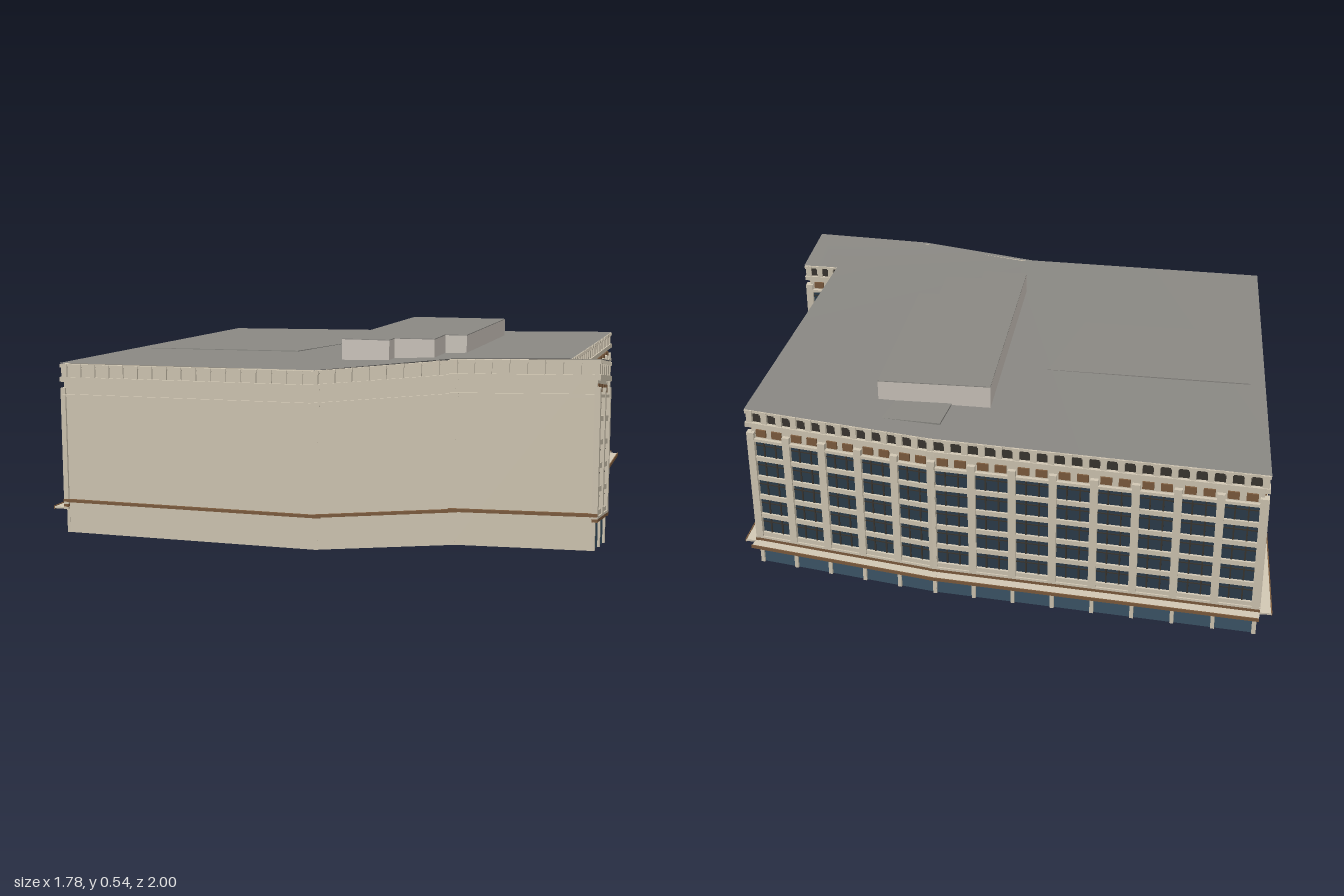
import * as THREE from 'three';
import { mergeGeometries } from 'three/addons/utils/BufferGeometryUtils.js';

const mat = (color) => new THREE.MeshStandardMaterial({ color, side: THREE.DoubleSide });
const stone = mat(0xd2c8b4), glass = mat(0x2c3d4b), shopGlass = mat(0x3d5668), dark = mat(0x3a3630);
const brown = mat(0x7d5c3e), roofGrey = mat(0x8a8883), plantWall = mat(0xd0c9c0);

// Footprint corners: x, z and ground height, counter-clockwise from above
const outline = [[-0.11, 0.995, 0.07], [0.08, 0.87, 0.042], [0.02, 0.78, 0.04], [0.857, 0.217, 0.03],
  [0.64, -0.24, 0.015], [0.22, -0.98, 0], [-0.872, -0.25, 0.01], [-0.49, 0.38, 0.017], [-0.3, 0.69, 0.059]];
const roofTriangles = [0, 1, 2, 2, 8, 0, 2, 7, 8, 2, 3, 7, 3, 4, 7, 4, 5, 7, 5, 6, 7];
const ROOF = 0.468, FLOOR0 = 0.085, FLOOR_H = 0.058, FLOORS = 5;
const INSET = 0.012; // wall plane behind the roof edge

// Wall corners: the outline moved inwards with mitred corners
const outward = (P, Q) => new THREE.Vector2(P[1] - Q[1], Q[0] - P[0]).normalize();
const [A, B, C, D, E, F, G, H, I] = outline.map((P, i) => {
  const n1 = outward(outline.at(i - 1), P), n2 = outward(P, outline[(i + 1) % outline.length]);
  const k = INSET / (1 + n1.dot(n2));
  return [P[0] - (n1.x + n2.x) * k, P[1] - (n1.y + n2.y) * k, P[2]];
});

// One side of the building: boxes placed by distance along, height and depth, sheared to the sloping ground
function makeSide(name, P, Q) {
  const group = new THREE.Group();
  group.name = name;
  const L = Math.hypot(Q[0] - P[0], Q[1] - P[1]);
  const dx = (Q[0] - P[0]) / L, dz = (Q[1] - P[1]) / L;
  const parts = new Map();
  const box = (part, material, u0, u1, y0, y1, d0, d1) => {
    const g = new THREE.BoxGeometry(u1 - u0, y1 - y0, d1 - d0);
    g.translate((u0 + u1) / 2, (y0 + y1) / 2, (d0 + d1) / 2);
    const p = g.attributes.position;
    for (let i = 0; i < p.count; i++) {
      const u = p.getX(i), y = p.getY(i), d = p.getZ(i);
      const ground = P[2] + (Q[2] - P[2]) * Math.min(Math.max(u / L, 0), 1);
      p.setXYZ(i, P[0] + dx * u - dz * d, y + ground, P[1] + dz * u + dx * d);
    }
    g.computeVertexNormals();
    if (!parts.has(part)) parts.set(part, { material, list: [] });
    parts.get(part).list.push(g);
  };
  // horizontal strip running past both corners
  const band = (part, material, y0, y1, d1) => box(part, material, -INSET, L + INSET, y0, y1, -0.002, d1);
  const finish = () => {
    for (const [part, { material, list }] of parts) {
      const mesh = new THREE.Mesh(mergeGeometries(list), material);
      mesh.name = part;
      group.add(mesh);
    }
    return group;
  };
  return { L, box, band, finish };
}

// Colonnade and cornices that run round the whole top
function addParapet({ L, box, band }) {
  box('parapetRecess', dark, 0, L, 0.43, 0.46, -0.002, 0.001);
  band('cornice', stone, 0.417, 0.43, 0.012);
  band('cornice', stone, 0.375, 0.383, 0.01);
  band('parapetRail', stone, 0.458, 0.465, 0.009);
  const n = Math.max(2, Math.round(L / 0.043));
  for (let i = 0; i <= n; i++) {
    const u = L * i / n;
    box('parapetPosts', stone, u - 0.008, u + 0.008, 0.43, 0.46, -0.002, 0.009);
    box('parapetCaps', stone, u - 0.01, u + 0.01, 0.456, 0.465, -0.002, 0.012);
  }
}

// One column of windows between u0 and u1
function addBay({ box }, u0, u1) {
  const w = u1 - u0, mid = (u0 + u1) / 2;
  for (let f = 0; f < FLOORS; f++) {
    const y = FLOOR0 + f * FLOOR_H;
    box('windows', glass, u0 + 0.008, u1 - 0.008, y + 0.01, y + FLOOR_H, -0.002, 0.001);
    box('windowSills', stone, u0, u1, y, y + 0.013, 0, 0.008);
    box('windowBars', dark, u0 + 0.008, u1 - 0.008, y + 0.043, y + 0.046, 0, 0.003);
    for (const s of [-1, 1])
      box('windowBars', dark, mid + s * w * 0.16 - 0.002, mid + s * w * 0.16 + 0.002, y + 0.013, y + FLOOR_H, 0, 0.004);
  }
  // brown frieze panels under the cornice
  for (const s of [-1, 1])
    box('friezePanels', brown, mid + s * w * 0.22 - w * 0.14, mid + s * w * 0.22 + w * 0.14, 0.388, 0.408, 0, 0.005);
}

// Flat stair tower strip with one tall slot window
function addStairStrip({ box }, u0, u1) {
  const m = (u0 + u1) / 2;
  box('stairStrip', stone, u0, u1, FLOOR0, 0.375, 0, 0.008);
  box('stairWindow', glass, m - 0.017, m + 0.017, 0.1, 0.335, 0.004, 0.01);
}

// bays: list of [end fraction, number of bays], 0 bays meaning a stair strip
function makeFacade(name, P, Q, bays, canopy) {
  const side = makeSide(name, P, Q), { L, box, band } = side;
  box('wall', stone, 0, L, 0.07, 0.464, -0.008, 0);
  box('shopGlass', shopGlass, 0, L, 0, 0.07, -0.008, 0);
  band('brownBand', brown, 0.072, 0.08, 0.012);
  band('ledge', stone, 0.08, 0.086, 0.012);
  if (canopy) {
    band('canopy', stone, 0.066, 0.071, 0.042);
    box('canopyEdge', brown, -INSET, L + INSET, 0.064, 0.073, 0.04, 0.043);
  }
  const pier = (u) => {
    box('piers', stone, u - 0.01, u + 0.01, FLOOR0, 0.4, -0.002, 0.012);
    box('shopPosts', stone, u - 0.005, u + 0.005, 0, 0.07, -0.002, 0.006);
  };
  pier(0);
  let start = 0;
  for (const [end, n] of bays) {
    const u0 = start * L, u1 = end * L;
    if (n === 0) addStairStrip(side, u0, u1);
    for (let i = 0; i < n; i++) addBay(side, u0 + (u1 - u0) * i / n, u0 + (u1 - u0) * (i + 1) / n);
    for (let i = 1; i <= Math.max(n, 1); i++) pier(u0 + (u1 - u0) * i / Math.max(n, 1));
    start = end;
  }
  addParapet(side);
  return side.finish();
}

// Blank party wall with thin string courses
function makePlainWall(name, P, Q) {
  const side = makeSide(name, P, Q), { L, box, band } = side;
  box('wall', stone, -0.004, L + 0.004, 0, 0.464, -0.002, 0.004);
  band('stringCourse', brown, 0.085, 0.093, 0.012);
  addParapet(side);
  return side.finish();
}

// Flat slab on the roof, from a plan outline
function makeSlab(name, pts, y, depth, material) {
  const shape = new THREE.Shape(pts.map(([x, z]) => new THREE.Vector2(x, -z)));
  const g = new THREE.ExtrudeGeometry(shape, { depth, bevelEnabled: false });
  g.rotateX(-Math.PI / 2).translate(0, y, 0);
  const mesh = new THREE.Mesh(g, material);
  mesh.name = name;
  return mesh;
}

export function createModel() {
  const model = new THREE.Group();
  model.name = 'officeBuilding';

  model.add(makeFacade('frontWing', A, B, [[1, 2]], false));
  model.add(makeFacade('wingReturn', B, C, [[1, 1]], false));
  model.add(makeFacade('frontFacade', C, D, [[1, 11]], true));
  model.add(makeFacade('sideFacadeFront', D, E, [[1, 5]], true));
  model.add(makeFacade('sideFacadeBack', E, F, [[1, 8]], true));
  model.add(makeFacade('backFacade', F, G, [[0.19, 2], [0.265, 0], [0.735, 6], [0.81, 0], [1, 2]], true));
  model.add(makePlainWall('partyWallBack', G, H));
  model.add(makePlainWall('partyWallMiddle', H, I));
  model.add(makePlainWall('partyWallFront', I, A));

  // Roof sheet following the corner heights, covering the parapet
  const roofGeo = new THREE.BufferGeometry();
  const corners = outline.flatMap(([x, z, ground]) => [x, ground + ROOF, z]);
  roofGeo.setAttribute('position', new THREE.Float32BufferAttribute(corners, 3));
  roofGeo.setIndex(roofTriangles);
  roofGeo.computeVertexNormals();
  const roof = new THREE.Mesh(roofGeo, roofGrey);
  roof.name = 'roof';
  model.add(roof);

  // Stepped plant room on the roof
  const plant = [[-0.27, 0.22], [-0.2, 0.335], [-0.15, 0.3], [-0.085, 0.39], [0.03, 0.31],
    [0.065, 0.36], [0.575, 0.01], [0.41, -0.24]];
  model.add(makeSlab('plantRoom', plant, 0.48, 0.06, plantWall));
  model.add(makeSlab('plantRoomRoof', plant, 0.54, 0.002, roofGrey));

  // Low roof panels, almost flush with the roof slope
  const backPanel = makeSlab('backRoofPanel', [[-0.45, -0.47], [-0.2, -0.07], [0.13, -0.2], [-0.17, -0.67]], 0.478, 0.005, roofGrey);
  const p = backPanel.geometry.attributes.position;
  for (let i = 0; i < p.count; i++) p.setY(i, p.getY(i) + 0.002 * p.getX(i) + 0.0118 * p.getZ(i));
  backPanel.geometry.computeVertexNormals();
  model.add(backPanel);
  model.add(makeSlab('sideRoofPanel', [[0.46, -0.15], [0.56, 0.02], [0.67, -0.03], [0.57, -0.21]], 0.482, 0.0055, roofGrey));
  return model;
}
